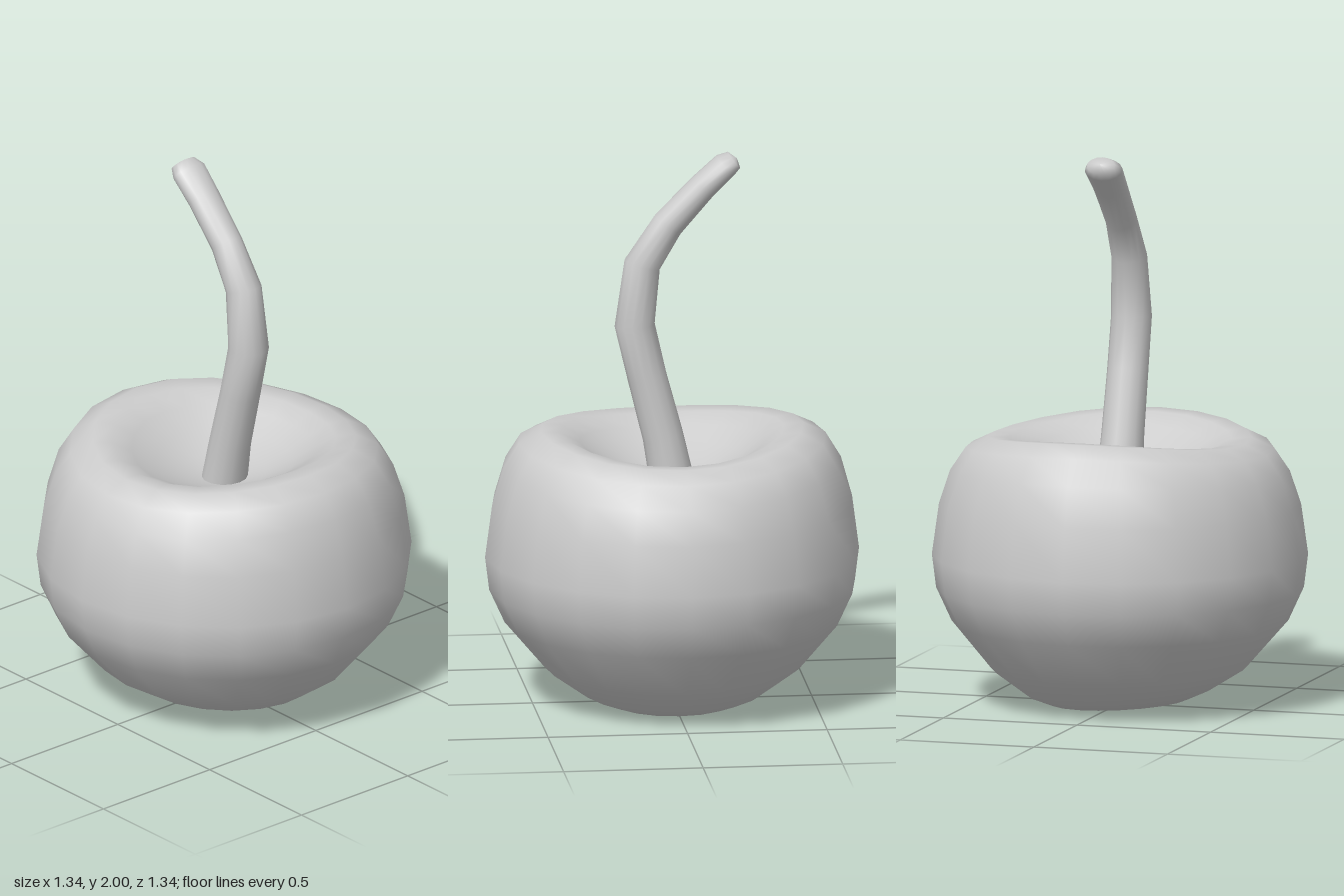
import * as THREE from 'three';
import { mergeVertices } from 'three/addons/utils/BufferGeometryUtils.js';

const material = new THREE.MeshStandardMaterial({ color: 0xcccccc });

// Weld seams so the normals run smoothly all round
function smooth(geometry) {
  geometry.deleteAttribute('uv');
  geometry.deleteAttribute('normal');
  const welded = mergeVertices(geometry, 1e-4);
  welded.computeVertexNormals();
  return welded;
}

// Round fruit with a hollow at the top, its rim dipping at front and back
function createFruit() {
  const profile = [
    [0, 0.015], [0.14, 0.01], [0.25, 0.012], [0.33, 0.045], [0.46, 0.135],
    [0.6, 0.3], [0.655, 0.42], [0.67, 0.54], [0.645, 0.73], [0.605, 0.87],
    [0.55, 0.96], [0.47, 1.0], [0.4, 0.995], [0.33, 0.955], [0.25, 0.895],
    [0.15, 0.845], [0.07, 0.825], [0, 0.82],
  ].map(([r, y]) => new THREE.Vector2(r, y));
  const geometry = new THREE.LatheGeometry(profile, 20);
  const p = geometry.attributes.position;
  for (let i = 0; i < p.count; i++) {
    const x = p.getX(i), y = p.getY(i), z = p.getZ(i);
    const r = Math.hypot(x, z);
    const side = r > 1e-4 ? (z / r) ** 2 : 0;
    const rim = THREE.MathUtils.smoothstep(y, 0.6, 1) * THREE.MathUtils.smoothstep(r, 0.1, 0.4);
    const base = 1 - THREE.MathUtils.smoothstep(y, 0.02, 0.2);
    p.setY(i, Math.max(0, y - 0.042 * side * rim - 0.012 * x * rim + 0.05 * z * base));
  }
  const mesh = new THREE.Mesh(smooth(geometry), material);
  mesh.name = 'fruit';
  return mesh;
}

// Bent stem: rings of [x, y, half thickness, half depth in z, lean in radians]
function createStem() {
  const rings = [
    [0.0, 0.8, 0.08, 0.085, -0.25], [0.033, 0.97, 0.073, 0.077, -0.25],
    [0.09, 1.19, 0.07, 0.074, -0.24], [0.134, 1.38, 0.072, 0.073, -0.06],
    [0.107, 1.6, 0.066, 0.064, 0.3], [0.015, 1.745, 0.058, 0.057, 0.64],
    [-0.11, 1.88, 0.05, 0.063, 0.78], [-0.19, 1.955, 0.046, 0.07, 0.86],
    [-0.222, 1.975, 0.035, 0.052, 0.9], [-0.232, 1.981, 0.001, 0.001, 0.9],
  ];
  const sides = 14, positions = [], index = [];
  rings.forEach(([x, y, a, b, lean], k) => {
    for (let j = 0; j < sides; j++) {
      const t = (j / sides) * Math.PI * 2;
      const u = a * Math.cos(t);
      positions.push(x + u * Math.cos(lean), y + u * Math.sin(lean), b * Math.sin(t));
      if (k === 0) continue;
      const n = (j + 1) % sides, lo = (k - 1) * sides, hi = k * sides;
      index.push(lo + j, hi + j, lo + n, hi + j, hi + n, lo + n);
    }
  });
  const geometry = new THREE.BufferGeometry();
  geometry.setAttribute('position', new THREE.Float32BufferAttribute(positions, 3));
  geometry.setIndex(index);
  geometry.computeVertexNormals();
  const mesh = new THREE.Mesh(geometry, material);
  mesh.name = 'stem';
  return mesh;
}

export function createModel() {
  const group = new THREE.Group();
  group.name = 'cherry';
  group.add(createFruit(), createStem());
  return group;
}
